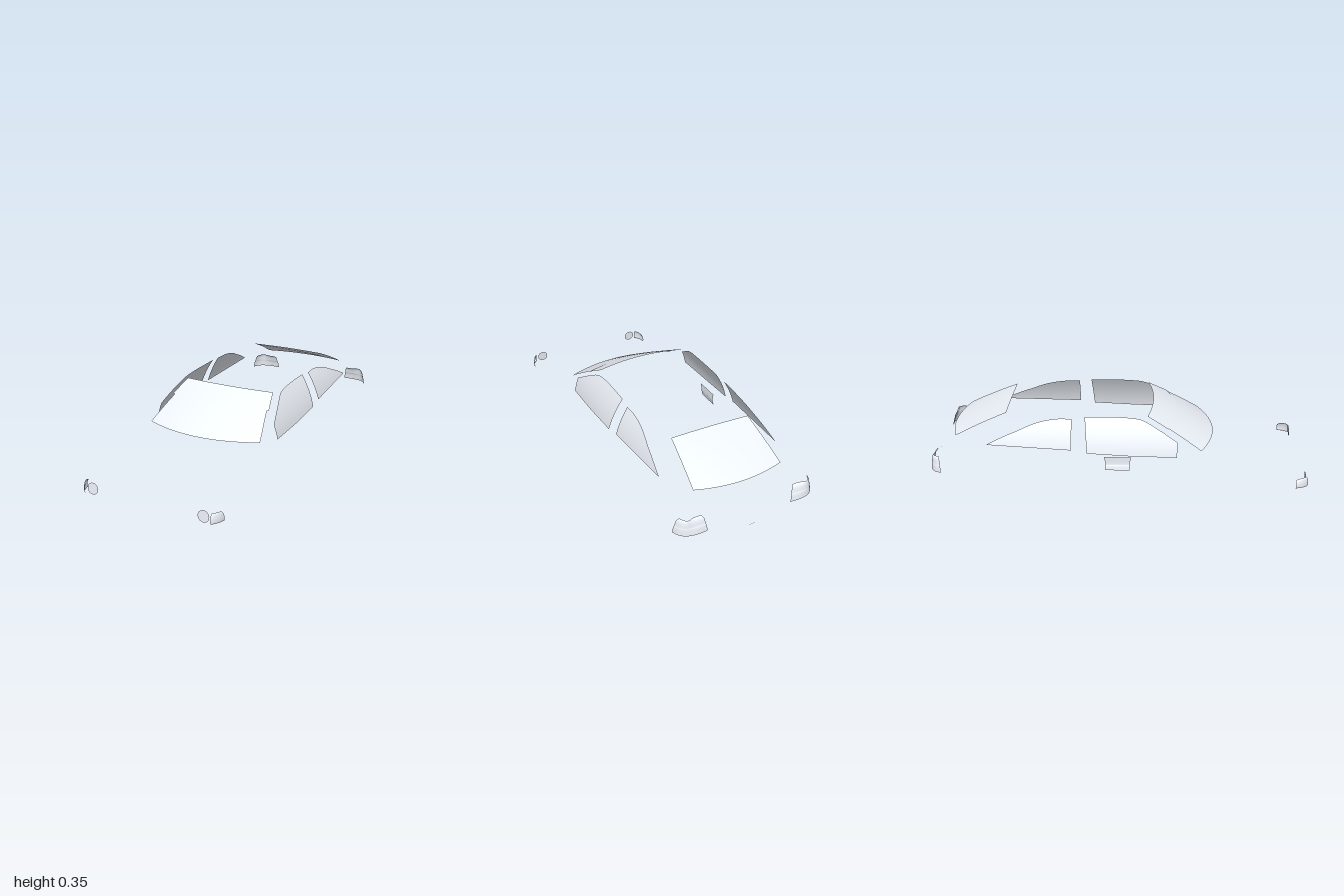
import * as THREE from 'three';

// Pale, faintly blue glass
const material = new THREE.MeshStandardMaterial({ color: 0xeef3fa, side: THREE.DoubleSide });

// Curved sheet: at(u, v) returns [x, y, z] for u, v in 0..1
function sheet(name, at, nu, nv) {
  const pos = [], index = [];
  for (let j = 0; j <= nv; j++) {
    for (let i = 0; i <= nu; i++) {
      pos.push(...at(i / nu, j / nv));
      if (i < nu && j < nv) {
        const a = j * (nu + 1) + i, b = a + nu + 1;
        index.push(a, a + 1, b, a + 1, b + 1, b);
      }
    }
  }
  const g = new THREE.BufferGeometry();
  g.setAttribute('position', new THREE.Float32BufferAttribute(pos, 3));
  g.setIndex(index);
  g.computeVertexNormals();
  const mesh = new THREE.Mesh(g, material);
  mesh.name = name;
  return mesh;
}

const lerp = THREE.MathUtils.lerp;

// Straight interpolation through a list of equal-length points
function along(points, t) {
  const s = t * (points.length - 1);
  const i = Math.min(Math.floor(s), points.length - 2);
  return points[i].map((a, k) => lerp(a, points[i + 1][k], s - i));
}

// Smooth interpolation through [a, b] points
function smooth(points) {
  const curve = new THREE.SplineCurve(points.map(p => new THREE.Vector2(...p)));
  return t => curve.getPoint(t).toArray();
}

// Half-width of the cabin side at a given height, narrowing to front and rear
function cabinX(y, z) {
  const h = y - 0.156;
  return 0.359 - 0.2 * h - 1.2 * h * h - 0.036 * Math.max(0, -0.23 - z) - 0.04 * Math.max(0, z) ** 2;
}

// Side pane from its top and bottom edges, given as [z, y]
function sidePane(name, side, top, bottom) {
  const edge = smooth(top);
  return sheet(name, (u, v) => {
    const [zt, yt] = edge(u), [zb, yb] = along(bottom, u);
    const y = lerp(yb, yt, v), z = lerp(zb, zt, v);
    return [side * cabinX(y, z), y, z];
  }, 28, 10);
}

function windscreen() {
  // [fraction up the slope, half-width], with a small notch in each side
  const rows = [[0, 0.317], [0.15, 0.307], [0.3, 0.296], [0.45, 0.285], [0.61, 0.273],
    [0.63, 0.283], [0.8, 0.27], [1, 0.255]];
  return sheet('windscreen', (u, v) => {
    const [t, w] = along(rows, v), s = u * 2 - 1;
    const bulge = Math.sin(Math.PI * t) * 0.003;
    const y = lerp(0.178, 0.349 - 0.007 * s * s, t) + bulge;
    return [s * w, y, lerp(0.517 - 0.077 * s * s, 0.19 - 0.03 * s * s, t) + bulge];
  }, 24, 7);
}

function rearWindow() {
  return sheet('rearWindow', (u, v) => {
    const s = u * 2 - 1, bulge = Math.sin(Math.PI * v) * 0.004;
    const z = lerp(-0.583, -0.892 + 0.04 * s * s, v);
    const y = lerp(0.341 - 0.004 * s * s, 0.212 + 0.003 * s * s, v) + bulge;
    return [s * lerp(0.217, 0.243, v), y, z];
  }, 20, 8);
}

// Wraparound tail lamp, lofted from a wide lower to a narrow, wavy upper edge
function tailLamp(side) {
  const low = smooth([[0.231, -0.977], [0.29, -0.979], [0.34, -0.968], [0.368, -0.945], [0.385, -0.912]]);
  const high = smooth([[0.254, -0.948], [0.29, -0.948], [0.325, -0.958], [0.344, -0.944], [0.353, -0.925]]);
  // [height, blend from lower to upper edge]
  const rows = [[0.063, 0], [0.08, 0.08], [0.096, 0.17], [0.103, 0.29], [0.11, 0.34],
    [0.125, 0.46], [0.135, 0.62], [0.141, 0.82], [0.143, 1]];
  return sheet('tailLamp', (u, v) => {
    const [y, t] = along(rows, v), a = low(u), b = high(u);
    return [side * lerp(a[0], b[0], t), y, lerp(a[1], b[1], t)];
  }, 20, 16);
}

// Front corner lamp curving round the wing, tucked under at the bottom
function cornerLamp(side) {
  const plan = smooth([[0.343, 0.998], [0.354, 0.99], [0.367, 0.972], [0.376, 0.95], [0.38, 0.93]]);
  // [height, inset]
  const rows = [[0.002, 0.006], [0.004, 0.001], [0.015, 0], [0.028, 0.001], [0.04, 0.004], [0.049, 0.008], [0.054, 0.014]];
  return sheet('cornerLamp', (u, v) => {
    const [x, z] = plan(u), [y, inset] = along(rows, v);
    return [side * (x - inset * u), y - 0.012 * v * u ** 4, z - inset * (1 - u)];
  }, 14, 12);
}

// Round lamp leaning back slightly
function headlamp(side) {
  const mesh = new THREE.Mesh(new THREE.CircleGeometry(0.03, 32), material);
  mesh.name = 'headlamp';
  mesh.position.set(side * 0.303, 0.031, 0.988);
  mesh.rotation.x = -0.08;
  return mesh;
}

export function createModel() {
  const model = new THREE.Group();
  model.add(windscreen(), rearWindow());

  for (const side of [1, -1]) {
    const label = side > 0 ? 'left' : 'right';
    model.add(
      sidePane(label + 'FrontSideWindow', side,
        [[0.314, 0.233], [0.225, 0.287], [0.142, 0.33], [0.08, 0.342], [-0.02, 0.346], [-0.166, 0.344]],
        [[0.314, 0.156], [0.08, 0.161], [-0.152, 0.172]]),
      sidePane(label + 'RearSideWindow', side,
        [[-0.233, 0.335], [-0.32, 0.333], [-0.42, 0.313], [-0.52, 0.273], [-0.6, 0.24], [-0.673, 0.205]],
        [[-0.233, 0.187], [-0.673, 0.202]]),
      tailLamp(side), cornerLamp(side), headlamp(side));
  }

  // Small panel below the right front window, with a bent lower lip
  const panel = [[0.07, -0.337, 0.064], [0.092, -0.333, 0.062], [0.1, -0.329, 0.062], [0.142, -0.33, 0.07]];
  model.add(sheet('sidePanel', (u, v) => {
    const [y, x, w] = along(panel, v);
    return [x, y, 0.006 + w * (1 - 2 * u)];
  }, 4, 6));

  // Tiny arched strip at the tail
  model.add(sheet('tailStrip', (u, v) => {
    const s = u * 2 - 1;
    return [s * 0.014, 0.035 - 0.002 * s * s - 0.002 * v, -1 + 0.002 * s * s];
  }, 8, 1));

  return model;
}
